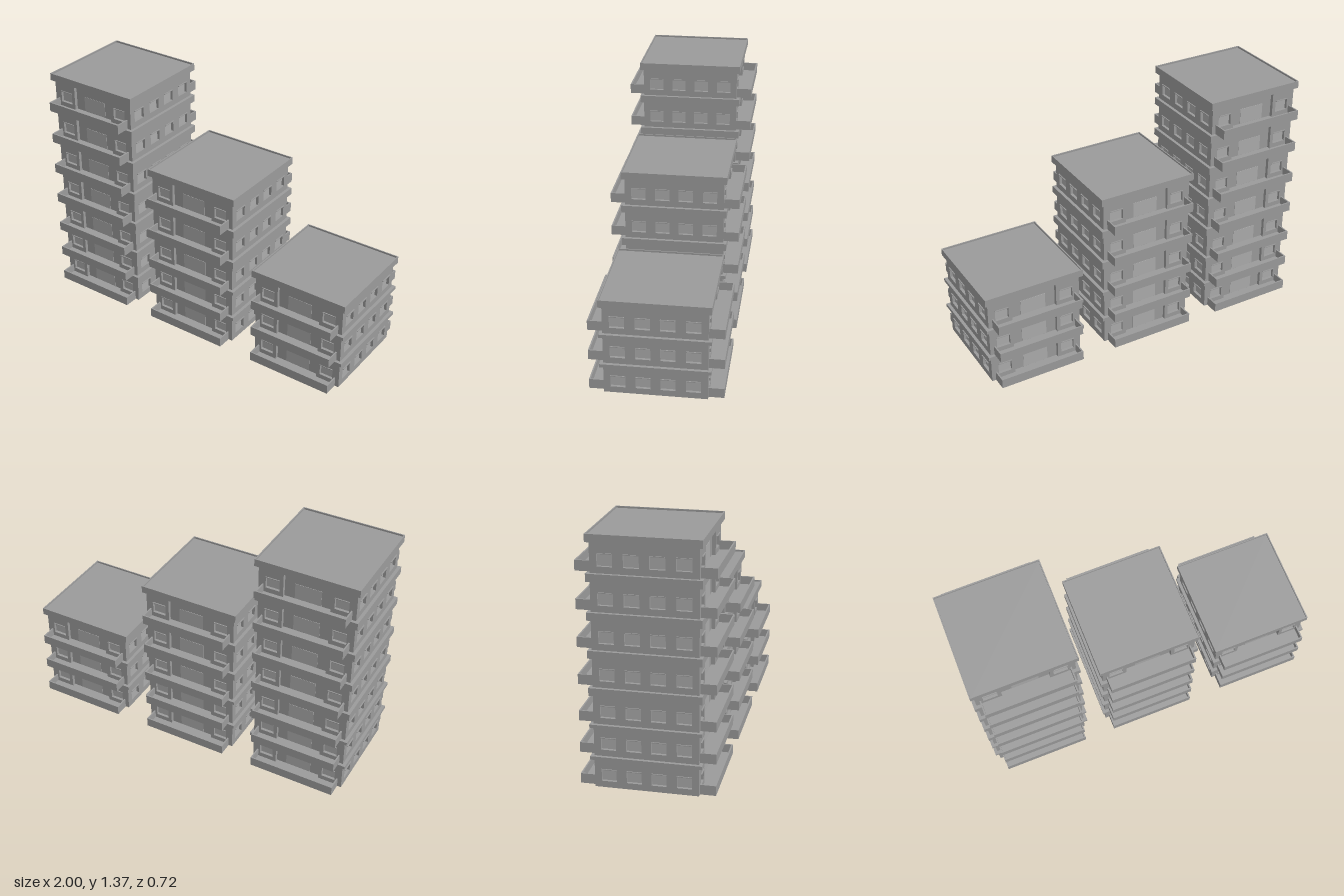
import * as THREE from 'three';

const grey = new THREE.MeshStandardMaterial({ color: 0x9b9b9b });
const pale = new THREE.MeshStandardMaterial({ color: 0xacacac });

const CORE = 0.257, WALL = 0.277, SLAB = 0.295, WALL_H = 0.16;
const WIN_W = 0.08, WIN_Y0 = 0.035, WIN_Y1 = 0.1;

function add(parent, name, geometry, x, y, z, material = grey) {
  const mesh = new THREE.Mesh(geometry, material);
  mesh.name = name;
  mesh.position.set(x, y, z);
  parent.add(mesh);
}

// Box given by its centre in x and z and its bottom in y
function box(parent, name, w, h, d, x, y, z, material) {
  add(parent, name, new THREE.BoxGeometry(w, h, d), x, y + h / 2, z, material);
}

function rectangle(x0, y0, x1, y1, Type = THREE.Shape) {
  const s = new Type();
  s.moveTo(x0, y0);
  s.lineTo(x1, y0);
  s.lineTo(x1, y1);
  s.lineTo(x0, y1);
  s.closePath();
  return s;
}

// Wall with window openings, set-back glass and a thin lintel over each
function wallPanel(parent, x0, x1, windows) {
  const shape = rectangle(x0, 0, x1, WALL_H);
  for (const x of windows) {
    shape.holes.push(rectangle(x - WIN_W / 2, WIN_Y0, x + WIN_W / 2, WIN_Y1, THREE.Path));
    box(parent, 'windowGlass', WIN_W, WIN_Y1 - WIN_Y0, 0.004, x, WIN_Y0, CORE + 0.002, pale);
    box(parent, 'windowLintel', WIN_W, 0.004, 0.012, x, WIN_Y1, WALL);
  }
  const geometry = new THREE.ExtrudeGeometry(shape, { depth: WALL - CORE, bevelEnabled: false });
  add(parent, 'wallPanel', geometry, 0, 0, CORE);
}

// Open balcony tray: floor, front parapet and two ends
function balcony(parent) {
  const half = 0.254, front = 0.361, t = 0.008, h = 0.055;
  const depth = front - CORE;
  box(parent, 'balconyFloor', half * 2, t, depth, 0, 0, CORE + depth / 2);
  box(parent, 'balconyParapet', half * 2, h, t, 0, 0, front - t / 2);
  for (const s of [-1, 1]) {
    box(parent, 'balconyEnd', t, h, depth - t, s * (half - t / 2), 0, CORE + (depth - t) / 2);
  }
}

// Front or back: windows either side of a recessed bay with a glazed door
function balconySide(angle) {
  const g = new THREE.Group();
  g.name = 'balconySide';
  wallPanel(g, -WALL, -0.134, [-0.195]);
  wallPanel(g, 0.134, WALL, [0.195]);
  box(g, 'balconyDoor', 0.15, 0.09, 0.002, 0, 0.01, CORE + 0.001, pale);
  balcony(g);
  g.rotation.y = angle;
  return g;
}

// Left or right: a row of four windows
function windowSide(angle) {
  const g = new THREE.Group();
  g.name = 'windowSide';
  wallPanel(g, -CORE, CORE, [-0.2, -0.066, 0.066, 0.2]);
  g.rotation.y = angle;
  return g;
}

// Flat roof inside a thin raised rim
function roof(parent, y, h) {
  const rimH = 0.01, inner = SLAB - 0.006;
  box(parent, 'roofSlab', SLAB * 2, h - rimH, SLAB * 2, 0, y, 0);
  const ring = rectangle(-SLAB, -SLAB, SLAB, SLAB);
  ring.holes.push(rectangle(-inner, -inner, inner, inner, THREE.Path));
  const geometry = new THREE.ExtrudeGeometry(ring, { depth: rimH, bevelEnabled: false });
  geometry.rotateX(-Math.PI / 2);
  add(parent, 'roofRim', geometry, 0, y + h - rimH, 0);
}

function building(name, floors, x) {
  const g = new THREE.Group();
  g.name = name;
  let y = 0;
  for (let i = 0; i < floors; i++) {
    const storey = new THREE.Group();
    storey.name = 'storey' + (i + 1);
    storey.position.y = y;
    box(storey, 'core', CORE * 2, WALL_H, CORE * 2, 0, 0, 0);
    storey.add(balconySide(0), balconySide(Math.PI));
    storey.add(windowSide(Math.PI / 2), windowSide(-Math.PI / 2));
    // The two lowest slabs are thinner
    const slabH = i < 2 ? 0.019 : 0.042;
    if (i === floors - 1) roof(storey, WALL_H, slabH);
    else box(storey, 'floorSlab', SLAB * 2, slabH, SLAB * 2, 0, WALL_H, 0);
    g.add(storey);
    y += WALL_H + slabH;
  }
  g.position.x = x;
  return g;
}

export function createModel() {
  const model = new THREE.Group();
  model.name = 'apartmentBlocks';
  model.add(building('tallBlock', 7, -0.705));
  model.add(building('middleBlock', 5, -0.01));
  model.add(building('lowBlock', 3, 0.705));
  return model;
}
